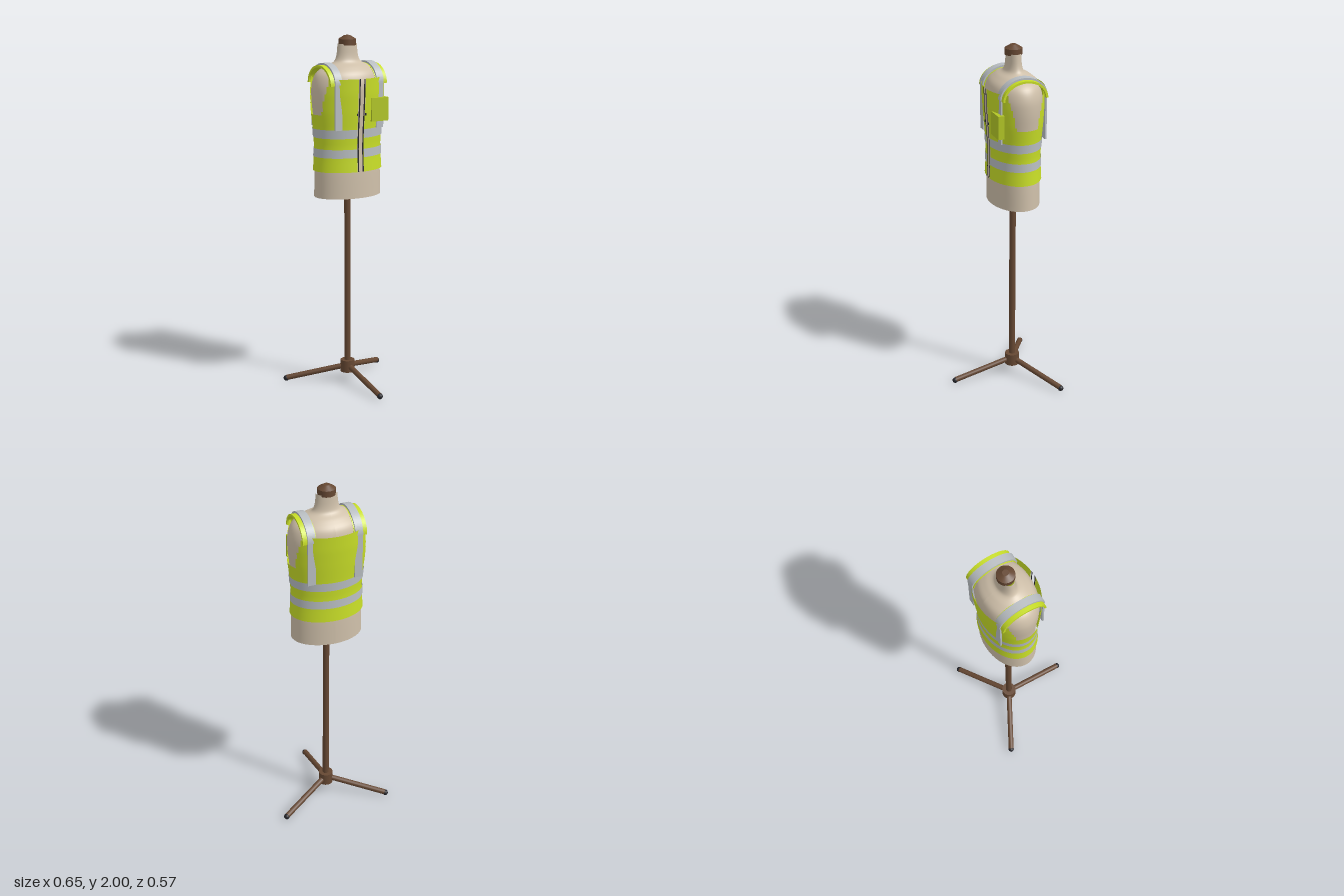
import * as THREE from 'three';

const mat = (name, color, side = THREE.FrontSide) => {
  const m = new THREE.MeshStandardMaterial({ color, side });
  m.name = name;
  return m;
};

// Grid surface from point(u, v), u to the right and v upward as seen from outside
function surface(cols, rows, point, skip = () => false) {
  const pos = [], idx = [];
  for (let j = 0; j <= rows; j++)
    for (let i = 0; i <= cols; i++) pos.push(...point(i / cols, j / rows));
  for (let j = 0; j < rows; j++)
    for (let i = 0; i < cols; i++) {
      if (skip((i + 0.5) / cols, (j + 0.5) / rows)) continue;
      const a = j * (cols + 1) + i, b = a + 1, c = a + cols + 1, d = c + 1;
      idx.push(a, b, d, a, d, c);
    }
  const g = new THREE.BufferGeometry();
  g.setAttribute('position', new THREE.Float32BufferAttribute(pos, 3));
  g.setIndex(idx);
  g.computeVertexNormals();
  return g;
}

// Vest half widths by height: y, rx, rz
const VEST = [[1.26, 0.205, 0.147], [1.33, 0.2, 0.143], [1.4, 0.198, 0.141], [1.5, 0.205, 0.146],
  [1.59, 0.216, 0.154], [1.69, 0.221, 0.161], [1.775, 0.218, 0.163]];
function vestPoint(a, y, off) {
  let k = 0;
  while (k < VEST.length - 2 && y > VEST[k + 1][0]) k++;
  const [p, q] = [VEST[k], VEST[k + 1]], t = (y - p[0]) / (q[0] - p[0]);
  const rx = THREE.MathUtils.lerp(p[1], q[1], t) + off, rz = THREE.MathUtils.lerp(p[2], q[2], t) + off;
  return [rx * Math.sin(a), y, rz * Math.cos(a)];
}

export function createModel() {
  const model = new THREE.Group();
  model.name = 'vestOnDressForm';
  const form = new THREE.Group();
  form.name = 'form';
  form.position.z = -0.09;
  model.add(form);

  const linen = mat('linen', 0xcfc0aa);
  const lime = mat('lime', 0xc8de28, THREE.DoubleSide);
  const pocketLime = mat('pocketLime', 0xb2c626);
  const silver = mat('silver', 0xb9bec2, THREE.DoubleSide);
  const wood = mat('wood', 0x664833);
  const black = mat('black', 0x25252a, THREE.DoubleSide);

  const add = (name, geo, material, x = 0, y = 0, z = 0) => {
    const m = new THREE.Mesh(geo, material);
    m.name = name;
    m.position.set(x, y, z);
    form.add(m);
    return m;
  };
  const rod = (name, from, to, r, material) => {
    const dir = to.clone().sub(from);
    const m = add(name, new THREE.CylinderGeometry(r, r, dir.length(), 14), material);
    m.position.copy(from).add(to).multiplyScalar(0.5);
    m.quaternion.setFromUnitVectors(new THREE.Vector3(0, 1, 0), dir.normalize());
  };

  // Stand: pole, hub and three splayed legs with dark tips
  rod('pole', new THREE.Vector3(0, 0.08, 0), new THREE.Vector3(0, 1.12, 0), 0.018, wood);
  add('hub', new THREE.CylinderGeometry(0.041, 0.041, 0.07, 16), wood, 0, 0.095, 0);
  for (let i = 0; i < 3; i++) {
    const a = i * Math.PI * 2 / 3;
    const at = (r, y) => new THREE.Vector3(r * Math.sin(a), y, r * Math.cos(a));
    rod('leg', at(0.02, 0.093), at(0.352, 0.02), 0.0155, wood);
    const tip = at(0.356, 0.0165);
    add('legTip', new THREE.SphereGeometry(0.0165, 12, 8), black, tip.x, tip.y, tip.z);
  }

  // Torso: elliptical sections given as rx, y, rz
  const body = new THREE.CatmullRomCurve3([[0.2, 1.11, 0.138], [0.196, 1.26, 0.136], [0.188, 1.4, 0.13],
    [0.203, 1.56, 0.139], [0.213, 1.67, 0.146], [0.209, 1.74, 0.146], [0.187, 1.795, 0.13],
    [0.135, 1.832, 0.092], [0.08, 1.858, 0.052], [0.066, 1.885, 0.043], [0.057, 1.955, 0.038],
  ].map(p => new THREE.Vector3(...p)));
  add('torso', surface(64, 48, (u, v) => {
    const p = body.getPoint(v), a = Math.PI + u * Math.PI * 2;
    return [p.x * Math.sin(a), p.y, p.z * Math.cos(a)];
  }), linen);
  const base = add('torsoBase', new THREE.ConeGeometry(1, 0.018, 64, 1, true), linen, 0, 1.101, 0);
  base.scale.set(0.2, 1, 0.138);
  base.rotation.x = Math.PI;

  // Neck cap
  add('neckCap', new THREE.CylinderGeometry(0.048, 0.048, 0.034, 28), wood, 0, 1.963, 0);
  add('neckCapTop', new THREE.CylinderGeometry(0.017, 0.048, 0.02, 28), wood, 0, 1.99, 0);

  // Vest shell, open at the front, with stepped armholes
  const gap = 0.1;
  const around = u => gap + u * (Math.PI * 2 - gap * 2);
  const [hem, top] = [1.26, 1.775];
  add('vestShell', surface(96, 26, (u, v) => vestPoint(around(u), hem + v * (top - hem), 0), (u, v) => {
    const y = hem + v * (top - hem);
    const fromSide = Math.abs(Math.abs(around(u) - Math.PI) - Math.PI / 2);
    return y > 1.585 && fromSide < 0.4 + (y - 1.585) * 1.4;
  }), lime);

  // Reflective bands
  for (const [low, high] of [[1.34, 1.387], [1.448, 1.497]])
    add('reflectiveBand', surface(96, 3, (u, v) => vestPoint(around(u), low + v * (high - low), 0.003)), silver);

  // Arched strip over the shoulder, running along x
  const arch = (rz, top, thick, foot, width) => {
    const s = new THREE.Shape();
    const ry = top - foot;
    s.absellipse(0, foot, rz, ry, 0, Math.PI, false);
    s.absellipse(0, foot, rz - thick, ry - thick, Math.PI, 0, true);
    s.closePath();
    const g = new THREE.ExtrudeGeometry(s, { depth: width, bevelEnabled: false, curveSegments: 24 });
    g.rotateY(Math.PI / 2);
    return g.translate(-width / 2, 0, 0);
  };

  for (const side of [-1, 1]) {
    // Zip edges beside the opening
    add('zipEdge', surface(1, 16, (u, v) => {
      const p = vestPoint(0, hem + v * (top - hem), 0.001);
      return [side * 0.015 + (u - 0.5) * 0.008, p[1], p[2]];
    }), black);
    add('zipTab', new THREE.BoxGeometry(0.006, 0.012, 0.006), black, side * 0.026, 1.58, 0.153);

    // Shoulder straps and their reflective strips
    add('shoulderStrap', arch(0.129, 1.844, 0.012, 1.74, 0.074), lime, side * 0.141);
    add('shoulderStrip', arch(0.136, 1.855, 0.01, 1.745, 0.043), silver, side * 0.1315);
    for (const face of [-1, 1])
      add('verticalStrip', new THREE.BoxGeometry(0.043, 0.25, 0.01), silver, side * 0.1315, 1.622, face * 0.128);
  }

  // Chest pocket
  add('pocket', new THREE.BoxGeometry(0.106, 0.13, 0.035), pocketLime, 0.119, 1.6, 0.137);

  return model;
}
